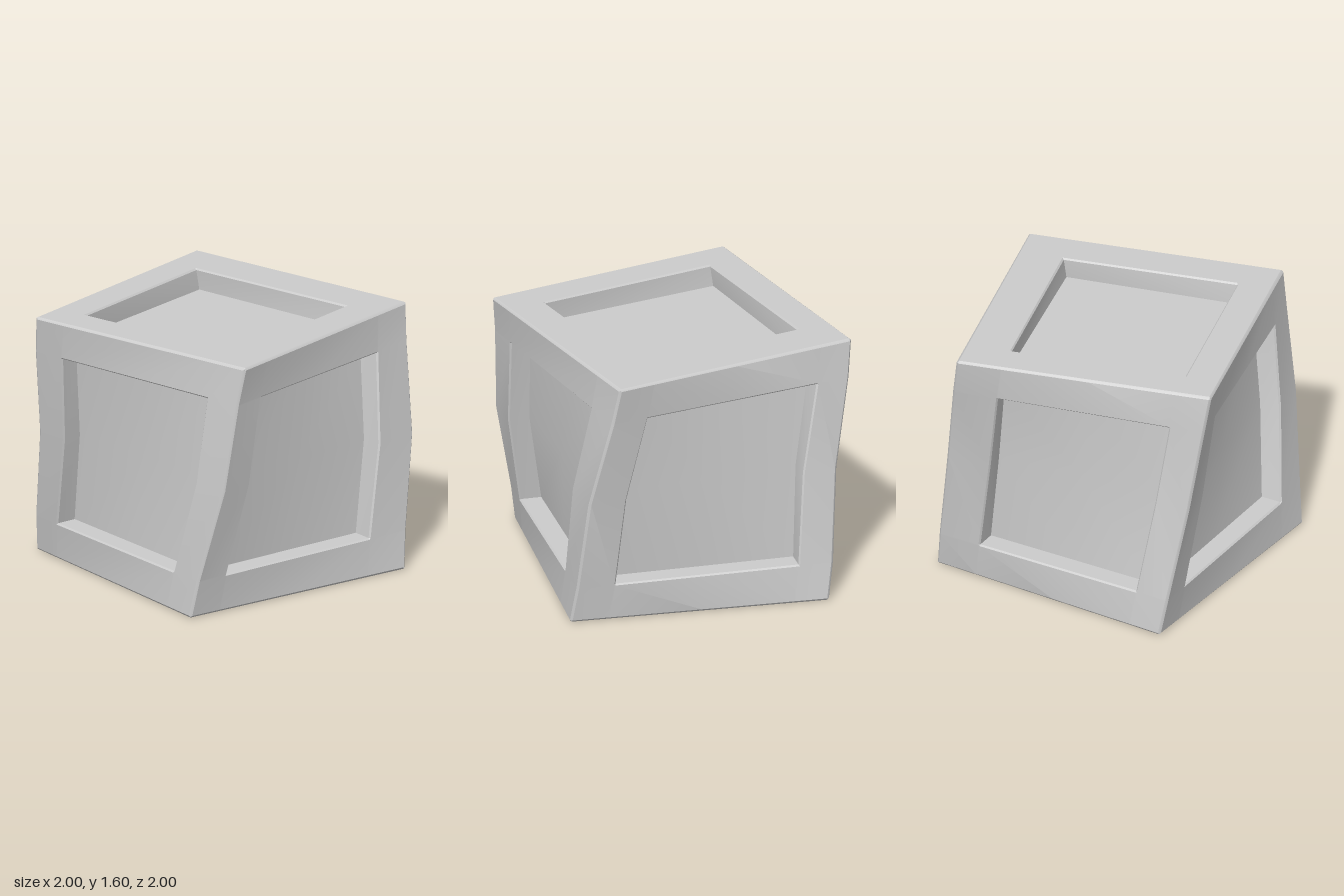
import * as THREE from 'three';
import { toCreasedNormals } from 'three/addons/utils/BufferGeometryUtils.js';

const HALF = [0.803, 0.8, 0.803];                               // half size of the untwisted crate
const OPENING = [[-0.58, 0.515], [-0.56, 0.56], [-0.585, 0.56]]; // recess limits per axis
const MIDDLE = [-0.03, 0.02, -0.01];                            // centre line of each panel
const DEPTH = [0.006, 0, 0, 0.01, 0.135, 0.135];                // depth of each ring, rim to panel

// Grid lines along one axis: edge bevel, rim, lip, wall foot, middle, and back again
function stations(axis) {
  const h = HALF[axis], [lo, hi] = OPENING[axis];
  return [-h + 0.006, -h + 0.014, lo - 0.009, lo, lo, MIDDLE[axis], hi, hi, hi + 0.009, h - 0.014, h - 0.006];
}

// Twist about the vertical axis, with a slight forward bulge at mid height
function deform([x, y, z]) {
  const t = (HALF[1] - y) / (2 * HALF[1]);
  const a = THREE.MathUtils.degToRad(THREE.MathUtils.lerp(0.5, 17.5, t));
  const bulge = 0.04 * Math.max(0, 1 - Math.abs(y - MIDDLE[1]) / 0.57);
  return new THREE.Vector3(
    x * Math.cos(a) - z * Math.sin(a),
    y + HALF[1],
    x * Math.sin(a) + z * Math.cos(a) + bulge
  );
}

// One side of the crate, split into its raised frame and its sunken panel
function buildSide(axis, sign) {
  const u = (axis + 1) % 3, v = (axis + 2) % 3;
  const us = stations(u), vs = stations(v), n = us.length - 1;
  const point = (i, j) => {
    const p = [0, 0, 0];
    p[axis] = sign * (HALF[axis] - DEPTH[Math.min(i, n - i, j, n - j)]);
    p[u] = us[i];
    p[v] = vs[j];
    return deform(p);
  };
  const frame = [], panel = [];
  const addTriangle = (list, a, b, c) => {
    const tri = sign > 0 ? [a, b, c] : [a, c, b];
    if (new THREE.Triangle(...tri).getArea() < 1e-8) return;
    tri.forEach(p => list.push(p.x, p.y, p.z));
  };
  for (let i = 0; i < n; i++) {
    for (let j = 0; j < n; j++) {
      const list = Math.min(i, n - 1 - i, j, n - 1 - j) >= 4 ? panel : frame;
      const a = point(i, j), b = point(i + 1, j), c = point(i + 1, j + 1), d = point(i, j + 1);
      addTriangle(list, a, b, c);
      addTriangle(list, a, c, d);
    }
  }
  return { frame, panel };
}

export function createModel() {
  const group = new THREE.Group();
  group.name = 'twistedCrate';
  const material = new THREE.MeshStandardMaterial({ color: 0xcccccc });
  const addMesh = (name, positions) => {
    const geometry = new THREE.BufferGeometry();
    geometry.setAttribute('position', new THREE.Float32BufferAttribute(positions, 3));
    const mesh = new THREE.Mesh(toCreasedNormals(geometry, 0.5), material);
    mesh.name = name;
    group.add(mesh);
  };

  // Six sides; the frames join into one bevelled shell
  const names = [['right', 'left'], ['bottom', 'top'], ['back', 'front']];
  const shell = [];
  for (let axis = 0; axis < 3; axis++) {
    for (const sign of [-1, 1]) {
      const { frame, panel } = buildSide(axis, sign);
      shell.push(...frame);
      addMesh(names[axis][sign > 0 ? 1 : 0] + 'Panel', panel);
    }
  }
  addMesh('crateFrame', shell);
  return group;
}
